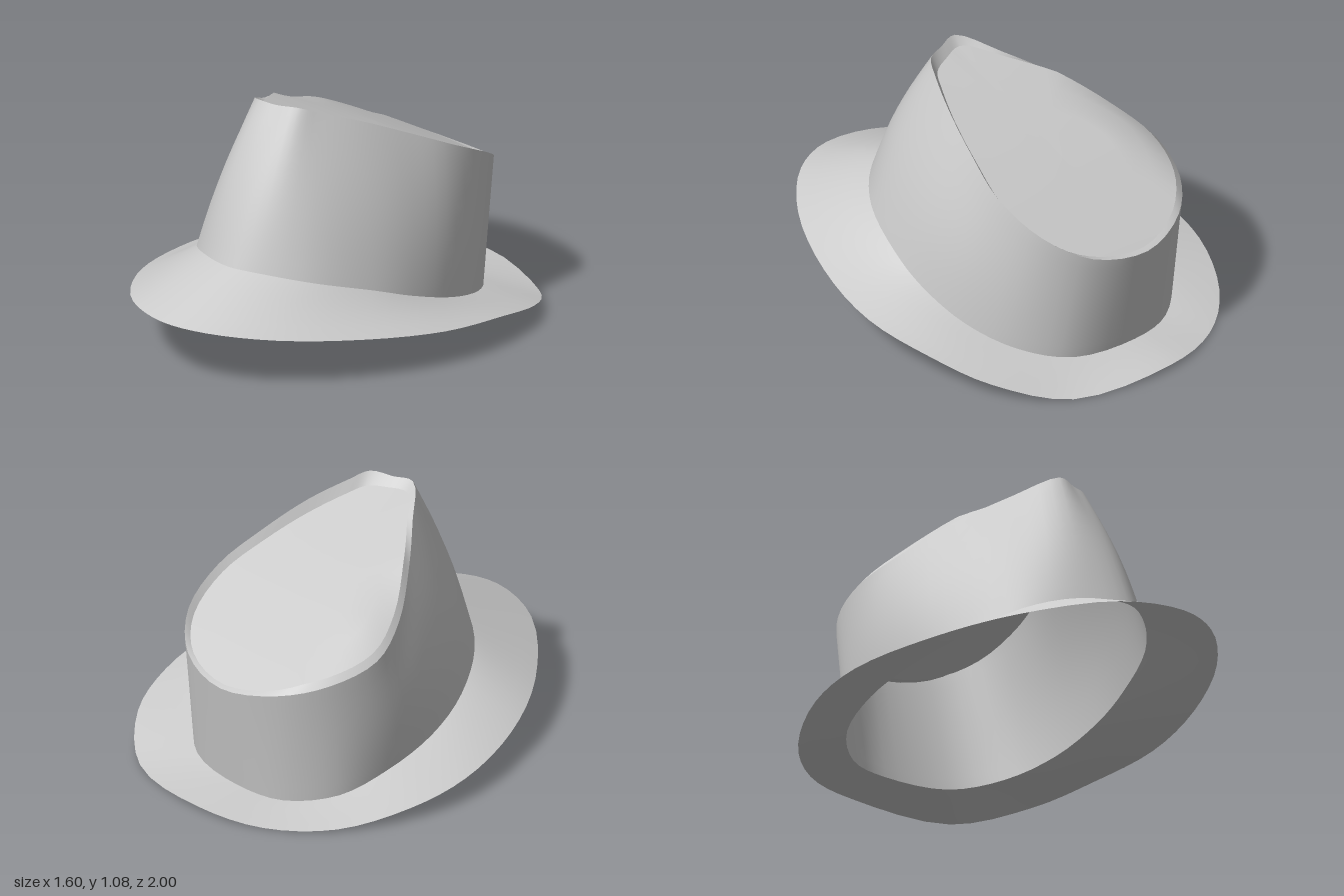
import * as THREE from 'three';

const SEGMENTS = 64;

// Guide loops, 16 points each: front, round by the model's left (+x), back, then the right.
const RIM = [
  [0.09, 0.27, 1.0], [0.3, 0.265, 0.94], [0.52, 0.24, 0.73], [0.71, 0.205, 0.37],
  [0.8, 0.17, 0], [0.77, 0.135, -0.35], [0.67, 0.08, -0.63], [0.42, 0.01, -0.88],
  [-0.04, 0.03, -1.0], [-0.35, 0.012, -0.92], [-0.6, 0.02, -0.72], [-0.76, 0.07, -0.43],
  [-0.8, 0.11, -0.13], [-0.71, 0.15, 0.25], [-0.52, 0.2, 0.6], [-0.2, 0.255, 0.91],
];
const BASE = [
  [0.1, 0.43, 0.63], [0.25, 0.42, 0.56], [0.4, 0.38, 0.4], [0.5, 0.31, 0.15],
  [0.53, 0.24, -0.05], [0.51, 0.16, -0.3], [0.42, 0.1, -0.53], [0.25, 0.06, -0.7],
  [-0.05, 0.05, -0.77], [-0.28, 0.04, -0.72], [-0.46, 0.07, -0.56], [-0.53, 0.13, -0.33],
  [-0.53, 0.19, -0.06], [-0.46, 0.26, 0.2], [-0.33, 0.35, 0.42], [-0.13, 0.41, 0.57],
];
const TOP = [
  [0.06, 1.085, 0.32], [0.16, 1.09, 0.28], [0.21, 1.06, 0.2], [0.29, 1.0, 0.03],
  [0.36, 0.91, -0.18], [0.41, 0.81, -0.4], [0.37, 0.7, -0.63], [0.22, 0.6, -0.79],
  [-0.04, 0.555, -0.86], [-0.3, 0.585, -0.78], [-0.46, 0.63, -0.62], [-0.53, 0.69, -0.4],
  [-0.47, 0.78, -0.2], [-0.33, 0.91, 0.01], [-0.18, 1.01, 0.19], [-0.04, 1.09, 0.34],
];

function sampleLoop(points) {
  const curve = new THREE.CatmullRomCurve3(points.map((p) => new THREE.Vector3(...p)), true);
  return Array.from({ length: SEGMENTS }, (_, i) => curve.getPoint(i / SEGMENTS));
}

// Rings between two loops, swelling outwards by bulge halfway
function ringsBetween(lower, upper, steps, bulge = 0) {
  return Array.from({ length: steps + 1 }, (_, s) => {
    const t = s / steps;
    return lower.map((p, i) => {
      const q = p.clone().lerp(upper[i], t);
      const out = new THREE.Vector3(q.x, 0, q.z + 0.15).normalize();
      const frontness = THREE.MathUtils.smoothstep(q.z, -0.7, 0);
      return q.addScaledVector(out, bulge * frontness * Math.sin(Math.PI * t));
    });
  });
}

// Smooth surface through a stack of closed rings
function skin(rings) {
  const index = [];
  for (let r = 0; r < rings.length - 1; r++) {
    for (let i = 0; i < SEGMENTS; i++) {
      const j = (i + 1) % SEGMENTS;
      const a = r * SEGMENTS + i, b = r * SEGMENTS + j;
      index.push(a, b, b + SEGMENTS, a, b + SEGMENTS, a + SEGMENTS);
    }
  }
  const geometry = new THREE.BufferGeometry().setFromPoints(rings.flat());
  geometry.setIndex(index);
  geometry.computeVertexNormals();
  return geometry;
}

// Height of the sloping, slightly sunken crown top
function capHeight(z) {
  const t = THREE.MathUtils.clamp((z + 0.86) / 1.16, 0, 1);
  return 0.55 + 0.5 * t + 0.03 * Math.sin(Math.PI * t);
}

// Loop shrunk towards the middle of the crown and laid on its top
function capRing(top, scale) {
  return top.map((p) => {
    const x = -0.02 + (p.x + 0.02) * scale;
    const z = -0.35 + (p.z + 0.35) * scale;
    return new THREE.Vector3(x, Math.min(capHeight(z), p.y + (1 - scale) * 0.6), z);
  });
}

export function createModel() {
  const group = new THREE.Group();
  const material = new THREE.MeshStandardMaterial({ color: 0xcccccc, side: THREE.DoubleSide });
  const rim = sampleLoop(RIM), base = sampleLoop(BASE), top = sampleLoop(TOP);

  const add = (name, rings) => {
    const mesh = new THREE.Mesh(skin(rings), material);
    mesh.name = name;
    group.add(mesh);
  };

  // Brim sloping out from the foot of the crown
  add('brim', ringsBetween(rim, base, 4));
  // Open-bottomed crown wall
  add('crownWall', ringsBetween(base, top, 10, 0.025));
  // Narrow lip dropping to the sunken top
  const inner = capRing(top, 0.95);
  add('crownLip', [top, inner]);
  // Sloping top, closed at its middle
  add('crownTop', [inner, ...[0.75, 0.5, 0.25, 0.001].map((s) => capRing(top, s))]);

  return group;
}
